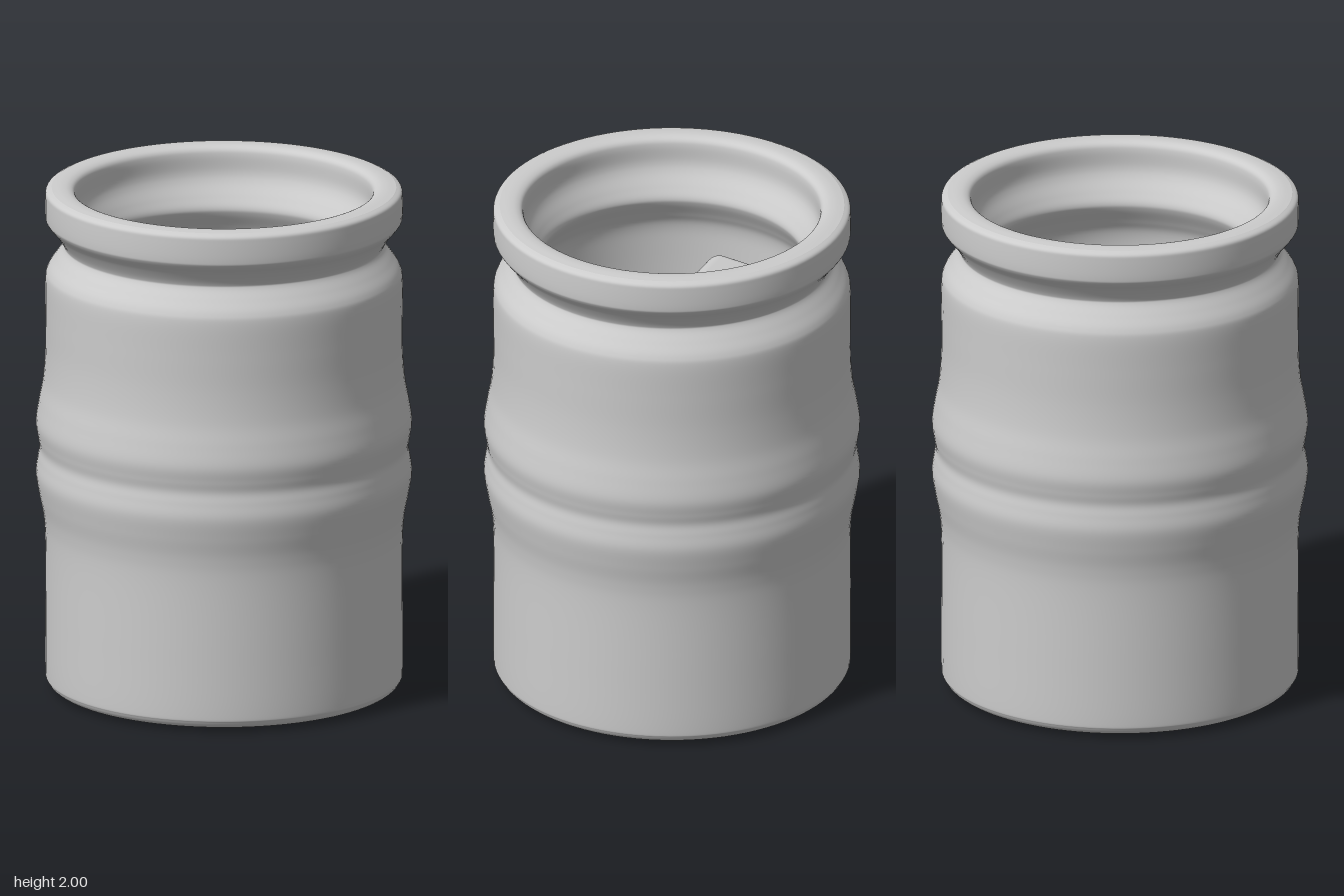
import * as THREE from 'three';
import { RoundedBoxGeometry } from 'three/addons/geometries/RoundedBoxGeometry.js';

const glassMat = new THREE.MeshStandardMaterial({ color: 0xcccccc });
const drinkMat = new THREE.MeshStandardMaterial({ color: 0xc06a74 });
glassMat.name = 'paleGlass';
drinkMat.name = 'pinkDrink';

const toPoints = (list) => list.map(([x, y]) => new THREE.Vector2(x, y));

// Smooth revolved surface through a list of [radius, height] points
function revolve(list, samples) {
  const curve = new THREE.SplineCurve(toPoints(list));
  return new THREE.LatheGeometry(curve.getPoints(samples), 96);
}

function addMesh(group, name, geometry, material) {
  const mesh = new THREE.Mesh(geometry, material);
  mesh.name = name;
  group.add(mesh);
  return mesh;
}

export function createModel() {
  const model = new THREE.Group();
  model.name = 'drinkJar';

  // Outer wall: rounded foot, two soft ridges, pinched neck and thick lip
  addMesh(model, 'outerWall', revolve([
    [0.63, 0.01], [0.665, 0.018], [0.685, 0.04], [0.69, 0.08], [0.69, 0.3], [0.69, 0.58],
    [0.697, 0.69], [0.714, 0.78], [0.726, 0.86], [0.719, 0.92], [0.712, 0.965],
    [0.719, 1.01], [0.726, 1.07], [0.714, 1.15], [0.698, 1.24], [0.69, 1.36],
    [0.69, 1.5], [0.69, 1.63], [0.68, 1.675], [0.65, 1.72], [0.622, 1.76], [0.622, 1.78],
    [0.65, 1.825], [0.683, 1.865], [0.69, 1.89], [0.69, 1.96], [0.686, 1.985], [0.665, 1.997],
  ], 180), glassMat);

  // Underside, bulging slightly in the middle
  addMesh(model, 'base', new THREE.LatheGeometry(
    toPoints([[0, 0], [0.3, 0.002], [0.64, 0.011]]), 96), glassMat);

  // Lip top and inner wall, running down to the inside floor
  addMesh(model, 'lipAndInnerWall', revolve([
    [0.665, 1.997], [0.63, 2], [0.6, 1.997], [0.58, 1.985], [0.573, 1.96], [0.572, 1.9],
    [0.56, 1.86], [0.53, 1.81], [0.51, 1.77], [0.516, 1.74], [0.55, 1.68], [0.575, 1.62],
    [0.58, 1.5], [0.58, 1.2], [0.58, 0.6], [0.58, 0.15], [0.56, 0.1], [0.5, 0.09], [0, 0.09],
  ], 120), glassMat);

  // Drink filling the jar
  const drink = addMesh(model, 'drink', new THREE.CylinderGeometry(0.579, 0.55, 1.22, 96), drinkMat);
  drink.position.y = 0.73;

  // Floating ice cubes, turned and tilted
  const cubes = [
    { name: 'backIceCube', size: 0.5, at: [-0.045, 1.37, -0.255], tilt: -0.14 },
    { name: 'frontIceCube', size: 0.45, at: [-0.09, 1.31, 0.295], tilt: -0.03 },
  ];
  for (const { name, size, at, tilt } of cubes) {
    const cube = addMesh(model, name, new RoundedBoxGeometry(size, size, size, 5, 0.055), glassMat);
    cube.position.set(...at);
    cube.rotation.set(tilt, -0.26, 0, 'YXZ');
  }
  return model;
}
